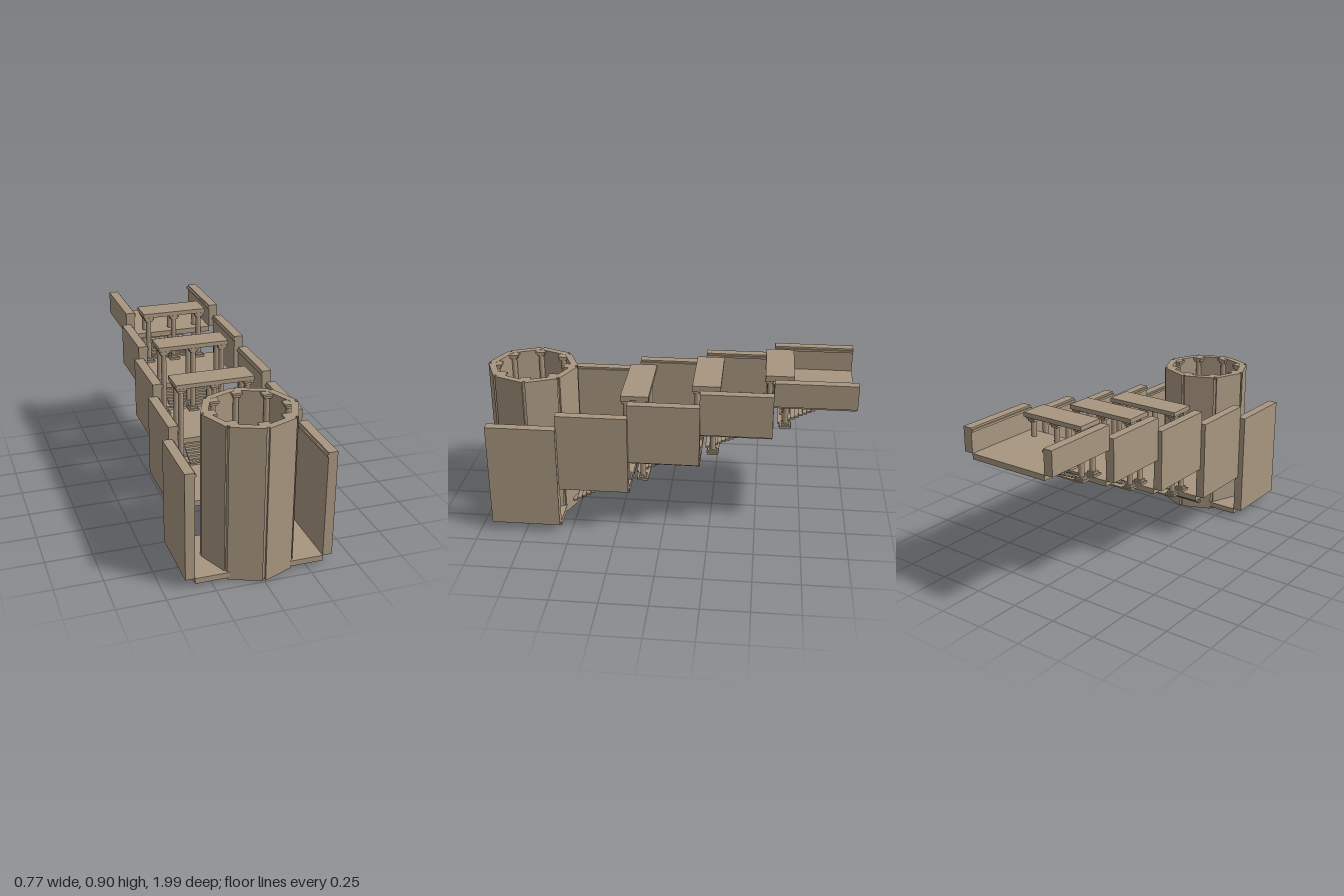
import * as THREE from 'three';

const stone = new THREE.MeshStandardMaterial({ color: 0xa89680 });
stone.name = 'sandstone';
const waterBlue = new THREE.MeshStandardMaterial({ color: 0x4f9da7 });
waterBlue.name = 'water';

const TOWER_Z = 0.745, TOWER_R = 0.252, TOWER_H = 0.83;

function add(parent, name, geometry, material = stone) {
  const mesh = new THREE.Mesh(geometry, material);
  mesh.name = name;
  parent.add(mesh);
  return mesh;
}

// Box given by its min and max on each axis
function block(parent, name, x0, x1, y0, y1, z0, z1) {
  const mesh = add(parent, name, new THREE.BoxGeometry(x1 - x0, y1 - y0, z1 - z0));
  mesh.position.set((x0 + x1) / 2, (y0 + y1) / 2, (z0 + z1) / 2);
  return mesh;
}

// Plan outline in (x, z) extruded between two heights
function slab(parent, name, outline, y0, y1, hole) {
  const shape = new THREE.Shape(outline.map(([x, z]) => new THREE.Vector2(x, z)));
  if (hole) shape.holes.push(new THREE.Path(hole.map(([x, z]) => new THREE.Vector2(x, z))));
  const g = new THREE.ExtrudeGeometry(shape, { depth: y1 - y0, bevelEnabled: false });
  g.rotateX(Math.PI / 2).translate(0, y1, 0);
  return add(parent, name, g);
}

// Round shaft with stepped square base and capital
function column(parent, x, z, y0, y1) {
  const col = new THREE.Group();
  col.name = 'column';
  const shaft = add(col, 'shaft', new THREE.CylinderGeometry(0.015, 0.015, y1 - y0 - 0.02, 12));
  shaft.position.y = (y0 + y1) / 2;
  const tier = (name, r, a, b) => block(col, name, -r, r, a, b, -r, r);
  tier('plinth', 0.029, y0, y0 + 0.012);
  tier('baseStep', 0.021, y0 + 0.012, y0 + 0.024);
  tier('capitalStep', 0.02, y1 - 0.026, y1 - 0.012);
  tier('abacus', 0.027, y1 - 0.012, y1);
  col.position.set(x, 0, z);
  parent.add(col);
}

// Eight-sided well tower with slotted corners, inner columns and water
function buildTower() {
  const tower = new THREE.Group();
  tower.name = 'tower';
  const outer = [], inner = [];
  for (let i = 0; i < 8; i++) {
    const a = i * Math.PI / 4, c = Math.cos(a), s = Math.sin(a);
    // Points around a corner: radial distance and sideways offset
    for (const [r, t] of [[TOWER_R - 0.004, -0.008], [TOWER_R - 0.018, -0.008],
      [TOWER_R - 0.018, 0.008], [TOWER_R - 0.004, 0.008]]) {
      outer.push([r * c - t * s, r * s + t * c]);
    }
    inner.push([0.212 * c, 0.212 * s]);
    column(tower, 0.2 * c, 0.2 * s, 0.001, TOWER_H - 0.001);
  }
  slab(tower, 'towerWall', outer, 0, TOWER_H, inner);
  const water = add(tower, 'water', new THREE.CylinderGeometry(0.212, 0.212, 0.008, 8), waterBlue);
  water.rotation.y = Math.PI / 2;
  water.position.y = 0.014;
  tower.position.z = TOWER_Z;
  return tower;
}

// Terraces: half floor width, floor underside, wall top, back and front z
const terraces = [
  { w: 0.337, y: 0.015, top: 0.625, z0: 0.56, z1: 0.935 },
  { w: 0.306, y: 0.225, top: 0.693, z0: 0.183, z1: 0.565 },
  { w: 0.28, y: 0.395, top: 0.761, z0: -0.195, z1: 0.187 },
  { w: 0.255, y: 0.565, top: 0.829, z0: -0.573, z1: -0.192 },
  { w: 0.229, y: 0.735, top: 0.896, z0: -1, z1: -0.572 },
];

function buildTerrace({ w, y, top, z0, z1 }, i) {
  const t = new THREE.Group();
  t.name = 'terrace' + (i + 1);
  const floorTop = y + 0.03;
  for (const s of [-1, 1]) {
    const span = (a, b) => (s > 0 ? [a, b] : [-b, -a]);
    block(t, 'sideWall', ...span(w, w + 0.05), floorTop, top, z0, z1);
    block(t, 'wallMoulding', ...span(w - 0.008, w), top - 0.022, top - 0.01, z0, z1);
    // The lowest floor wraps around the tower in two halves
    if (i === 0) {
      const half = [[w, z1], [w, z0], [0.17, z0], [0.24, TOWER_Z], [0.17, 0.92], [0.16, z1]];
      slab(t, 'floor', half.map(([x, z]) => [x * s, z]), y, floorTop);
    }
  }
  // The second floor is notched to fit the tower
  if (i === 1) {
    slab(t, 'floor', [[-w, z0], [w, z0], [w, z1], [0.175, z1], [0, 0.51], [-0.175, z1], [-w, z1]], y, floorTop);
  } else if (i > 1) {
    block(t, 'floor', -w, w, y, floorTop, z0, z1);
  }
  return t;
}

// Colonnade of two rows carrying a flat lintel
function buildColonnade(i) {
  const g = new THREE.Group();
  g.name = 'colonnade' + (i + 1);
  const half = 0.218 - i * 0.0165, dz = -0.38 * i;
  const base = 0.255 + 0.17 * i, top = 0.761 + 0.0675 * i;
  block(g, 'lintel', -half, half, top - 0.024, top, 0.085 + dz, 0.235 + dz);
  for (const z of [0.21, 0.122]) {
    for (const x of [-1, 0, 1]) column(g, x * (half - 0.032), z + dz, base, top - 0.024);
  }
  block(g, 'landing', -half + 0.02, half - 0.02, base, base + 0.008, 0.09 + dz, 0.155 + dz);
  return g;
}

// Flights of thin treads: start (z, y) and end (z, y)
const flights = [
  [0.535, 0.055, 0.18, 0.25],
  [0.165, 0.262, -0.12, 0.395],
  [-0.215, 0.435, -0.515, 0.563],
  [-0.6, 0.6, -0.9, 0.735],
];

function buildFlight([za, ya, zb, yb], i) {
  const g = new THREE.Group();
  g.name = 'stairs' + (i + 1);
  const n = 14, run = (za - zb) / n;
  for (let k = 0; k < n; k++) {
    const z = za - run * k, y = ya + (yb - ya) * k / (n - 1);
    block(g, 'tread', -0.12, 0.12, y - 0.01, y, z - run * 1.1, z);
  }
  return g;
}

export function createModel() {
  const model = new THREE.Group();
  model.name = 'steppedWell';
  model.add(buildTower());
  terraces.forEach((t, i) => model.add(buildTerrace(t, i)));
  for (let i = 0; i < 3; i++) model.add(buildColonnade(i));
  flights.forEach((f, i) => model.add(buildFlight(f, i)));
  return model;
}
